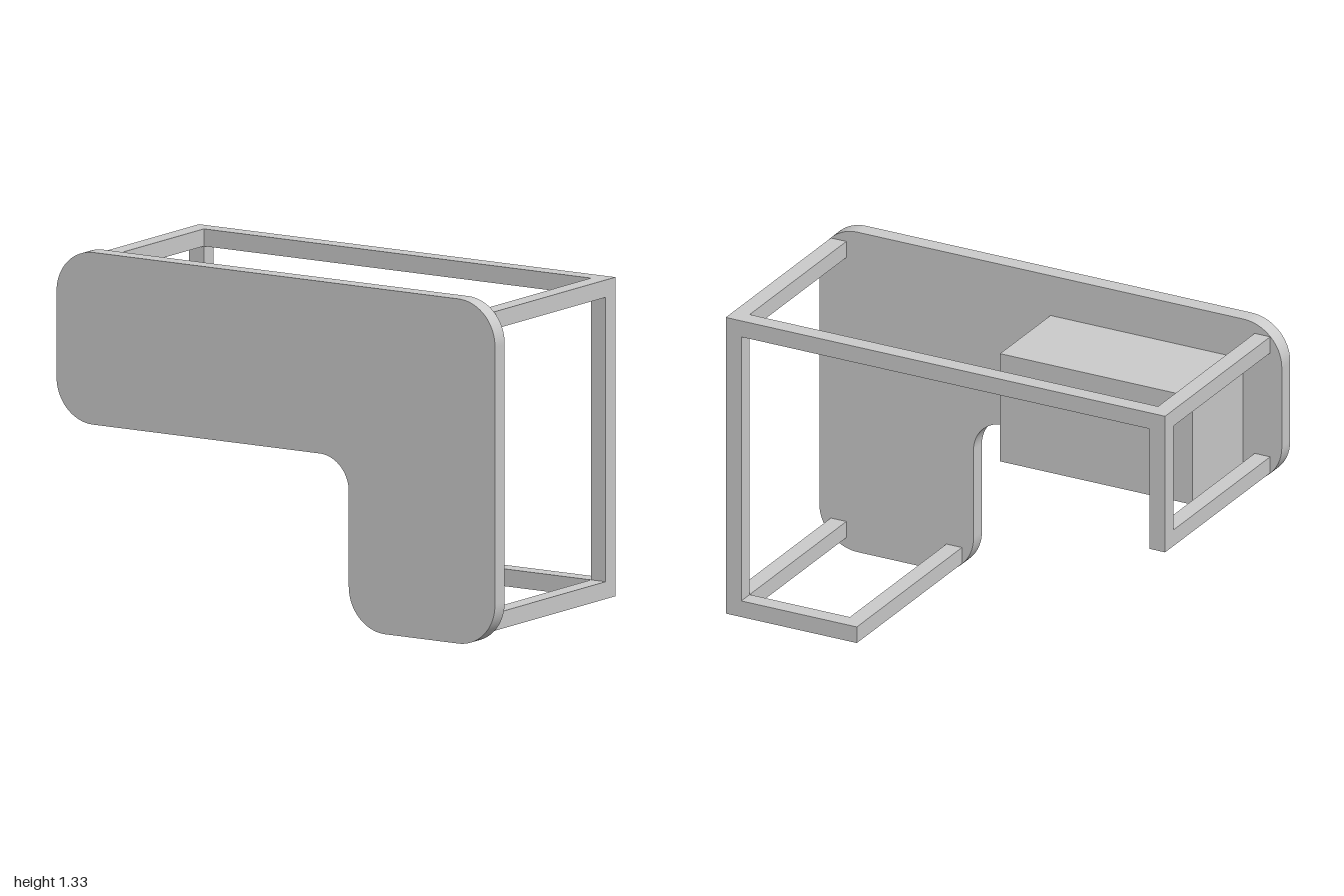
import * as THREE from 'three';

const material = new THREE.MeshStandardMaterial({ color: 0xcccccc });

// Box given by its min and max corners
function box(name, [x0, y0, z0], [x1, y1, z1]) {
  const mesh = new THREE.Mesh(new THREE.BoxGeometry(x1 - x0, y1 - y0, z1 - z0), material);
  mesh.position.set((x0 + x1) / 2, (y0 + y1) / 2, (z0 + z1) / 2);
  mesh.name = name;
  return mesh;
}

// L-shaped outline with rounded corners
function deskShape() {
  const r = 0.167, f = 0.133, s = new THREE.Shape(), P = Math.PI;
  s.moveTo(0.333 + r, 0);
  s.absarc(1 - r, r, r, -P / 2, 0);
  s.absarc(1 - r, 1.333 - r, r, 0, P / 2);
  s.absarc(-1 + r, 1.333 - r, r, P / 2, P);
  s.absarc(-1 + r, 0.667 + r, r, P, 1.5 * P);
  s.absarc(0.333 - f, 0.667 - f, f, P / 2, 0, true); // inner corner
  s.absarc(0.333 + r, r, r, P, 1.5 * P);
  return s;
}

export function createModel() {
  const model = new THREE.Group();
  const front = 0.383, back = -0.45, t = 0.067;

  // Desk top, standing on edge
  const top = new THREE.Mesh(
    new THREE.ExtrudeGeometry(deskShape(), { depth: t, bevelEnabled: false, curveSegments: 16 }), material);
  top.position.z = front;
  top.name = 'deskTop';
  model.add(top);

  // Legs running back from the top
  const frame = new THREE.Group();
  frame.name = 'frame';
  for (const [x, y] of [[-0.95, 1.217], [0.883, 1.217], [-0.95, 0.717], [0.883, 0.05], [0.383, 0.05]])
    frame.add(box('leg', [x, y, back + t], [x + t, y + t, front]));

  // Rails joining the leg ends
  frame.add(
    box('longRail', [-0.95, 1.217, back], [0.95, 1.284, back + t]),
    box('sideRail', [0.883, 0.117, back], [0.95, 1.217, back + t]),
    box('shortRail', [-0.95, 0.717, back], [-0.883, 1.217, back + t]),
    box('endRail', [0.383, 0.05, back], [0.95, 0.117, back + t]));
  model.add(frame);

  // Drawer unit with two drawer fronts and bar handles
  const drawers = new THREE.Group();
  drawers.name = 'drawerUnit';
  drawers.add(box('cabinet', [-0.833, 0.718, -0.017], [0, 1.167, front]));
  for (const z of [0.107, 0.273]) {
    drawers.add(box('drawerFront', [-0.813, 0.716, z - 0.078], [-0.02, 0.73, z + 0.078]));
    drawers.add(box('handle', [-0.583, 0.688, z - 0.01], [-0.25, 0.717, z + 0.01]));
  }
  model.add(drawers);
  return model;
}
